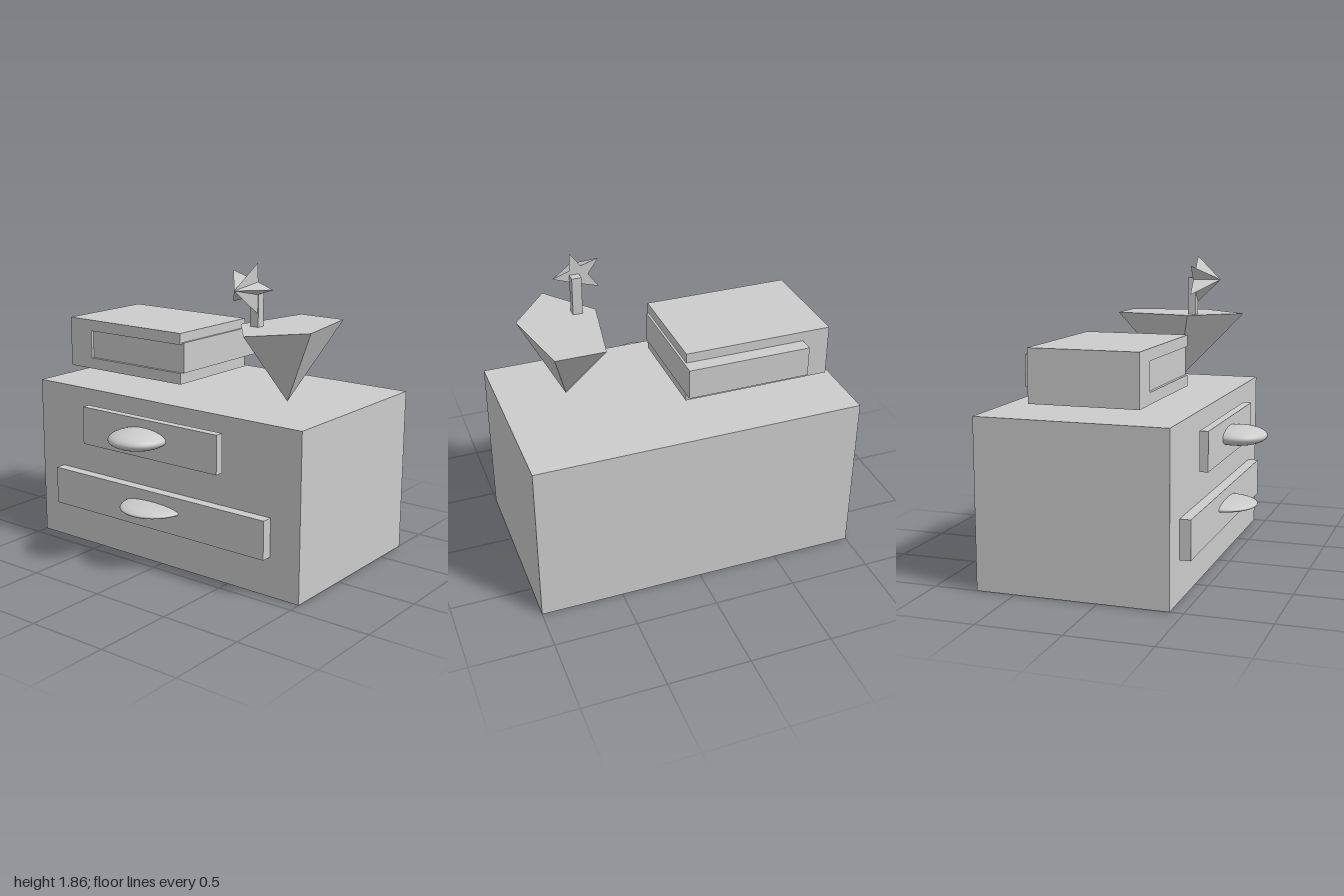
import * as THREE from 'three';

const smooth = new THREE.MeshStandardMaterial({ color: 0xcccccc });
const flat = new THREE.MeshStandardMaterial({ color: 0xcccccc, flatShading: true });

export function createModel() {
  const group = new THREE.Group();

  const add = (name, geometry, material = flat) => {
    const mesh = new THREE.Mesh(geometry, material);
    mesh.name = name;
    group.add(mesh);
    return mesh;
  };

  // Box given by its extents along each axis
  const box = (name, [x0, x1], [y0, y1], [z0, z1]) =>
    add(name, new THREE.BoxGeometry(x1 - x0, y1 - y0, z1 - z0))
      .position.set((x0 + x1) / 2, (y0 + y1) / 2, (z0 + z1) / 2);

  // Smooth flattened knob
  const knob = (name, center, radius, height) => {
    const geometry = new THREE.SphereGeometry(1, 40, 24).scale(radius, height, radius);
    add(name, geometry, smooth).position.set(...center);
  };

  // Chest with two drawer fronts
  box('chest', [-1, 1], [0, 1.015], [-0.735, 0.42]);
  box('lowerDrawer', [-0.82, 0.8], [0.24, 0.475], [0.42, 0.486]);
  box('upperDrawer', [-0.555, 0.483], [0.685, 0.922], [0.456, 0.508]);
  knob('lowerKnob', [-0.022, 0.378, 0.464], 0.208, 0.034);
  knob('upperKnob', [-0.062, 0.815, 0.556], 0.18, 0.058);

  // Book: C-shaped cover around a block of pages
  const cover = new THREE.Shape([
    [-0.918, 1.088], [-0.01, 1.088], [-0.01, 1.157], [-0.74, 1.157],
    [-0.74, 1.332], [-0.01, 1.332], [-0.01, 1.402], [-0.918, 1.402],
  ].map(([x, y]) => new THREE.Vector2(x, y)));
  add('bookCover', new THREE.ExtrudeGeometry(cover, { depth: 0.655, bevelEnabled: false }))
    .position.z = -0.432;
  box('bookPages', [-0.75, 0.004], [1.157, 1.343], [-0.521, 0.205]);

  // Five-sided pot standing on its tip
  const pot = new THREE.ConeGeometry(1, 0.455, 5).rotateZ(Math.PI).scale(0.256, 1, 0.445);
  add('pot', pot).position.set(0.6, 1.258, -0.025);

  // Flower: square stem and a pointed five-armed star
  box('stem', [0.443, 0.502], [1.46, 1.72], [0.09, 0.142]);
  const star = new THREE.ConeGeometry(0.155, 0.163, 10, 1, false, Math.PI / 2).rotateX(Math.PI / 2);
  const p = star.attributes.position;
  for (let i = 0; i < p.count; i++) {
    const step = Math.round(Math.atan2(p.getY(i), p.getX(i)) / (Math.PI / 5));
    if (step % 2 !== 0) p.setXY(i, p.getX(i) * 0.4, p.getY(i) * 0.4);
  }
  add('starFlower', star).position.set(0.449, 1.711, 0.2235);

  return group;
}
